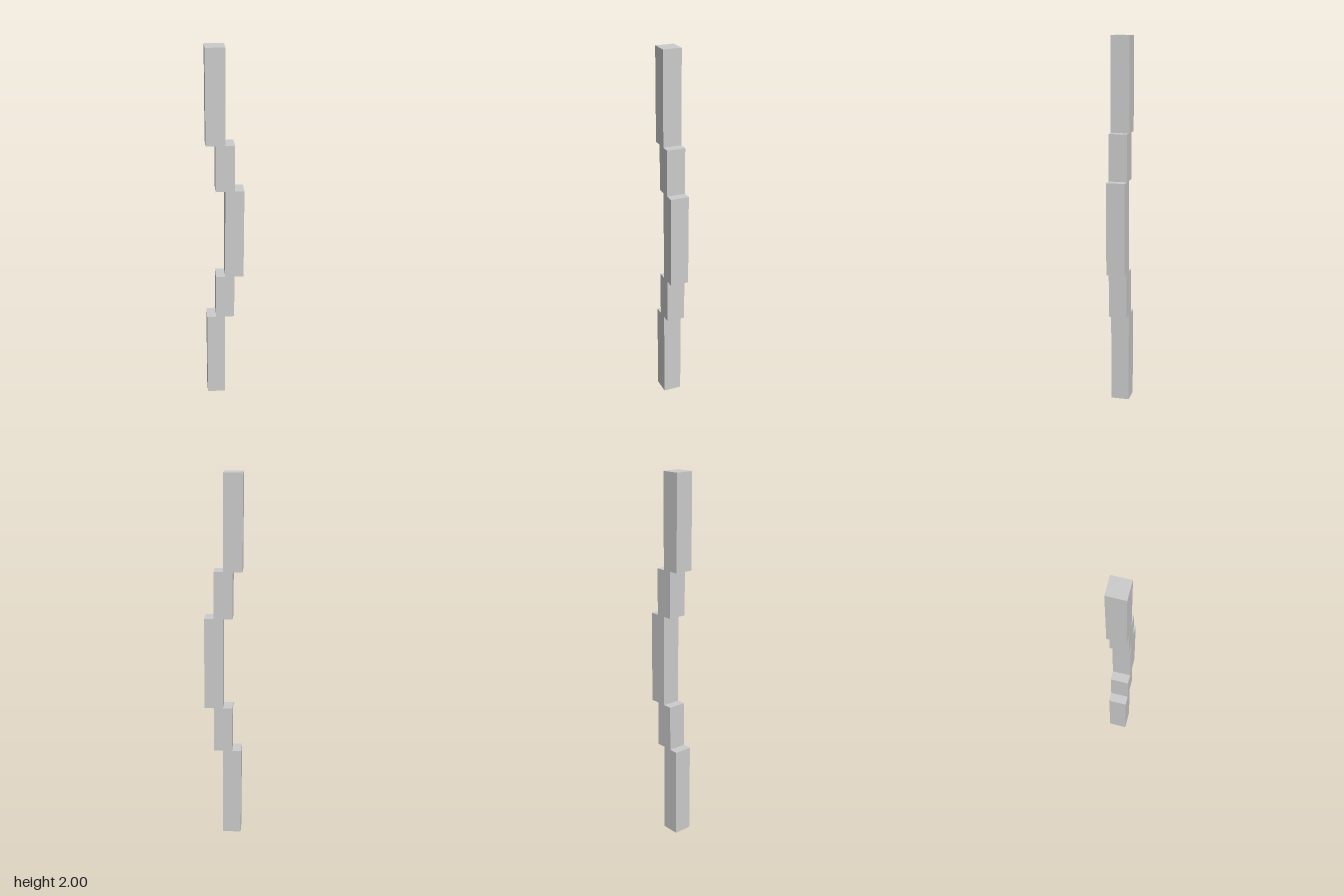
import * as THREE from 'three';

const WIDTH = 0.1;
const DEPTH = 0.1;

// Stacked sections from the ground up: sideways offset, bottom, top
const sections = [
  { x: -0.05, y0: 0, y1: 0.5 },
  { x: 0, y0: 0.5, y1: 0.75 },
  { x: 0.05, y0: 0.75, y1: 1.25 },
  { x: 0, y0: 1.25, y1: 1.5 },
  { x: -0.05, y0: 1.5, y1: 2 },
];

// Stepped outline: up the +x side, then back down the -x side
function steppedOutline() {
  const up = [];
  const down = [];
  for (const { x, y0, y1 } of sections) {
    up.push(new THREE.Vector2(x + WIDTH / 2, y0), new THREE.Vector2(x + WIDTH / 2, y1));
    down.push(new THREE.Vector2(x - WIDTH / 2, y0), new THREE.Vector2(x - WIDTH / 2, y1));
  }
  return new THREE.Shape([...up, ...down.reverse()]);
}

export function createModel() {
  const group = new THREE.Group();
  group.name = 'steppedBow';

  // One continuous limb of square section, centred on z
  const geometry = new THREE.ExtrudeGeometry(steppedOutline(), { depth: DEPTH, bevelEnabled: false });
  geometry.translate(0, 0, -DEPTH / 2);
  const limb = new THREE.Mesh(
    geometry,
    new THREE.MeshStandardMaterial({ color: 0xcccccc, flatShading: true }),
  );
  limb.name = 'steppedLimb';
  group.add(limb);

  return group;
}
